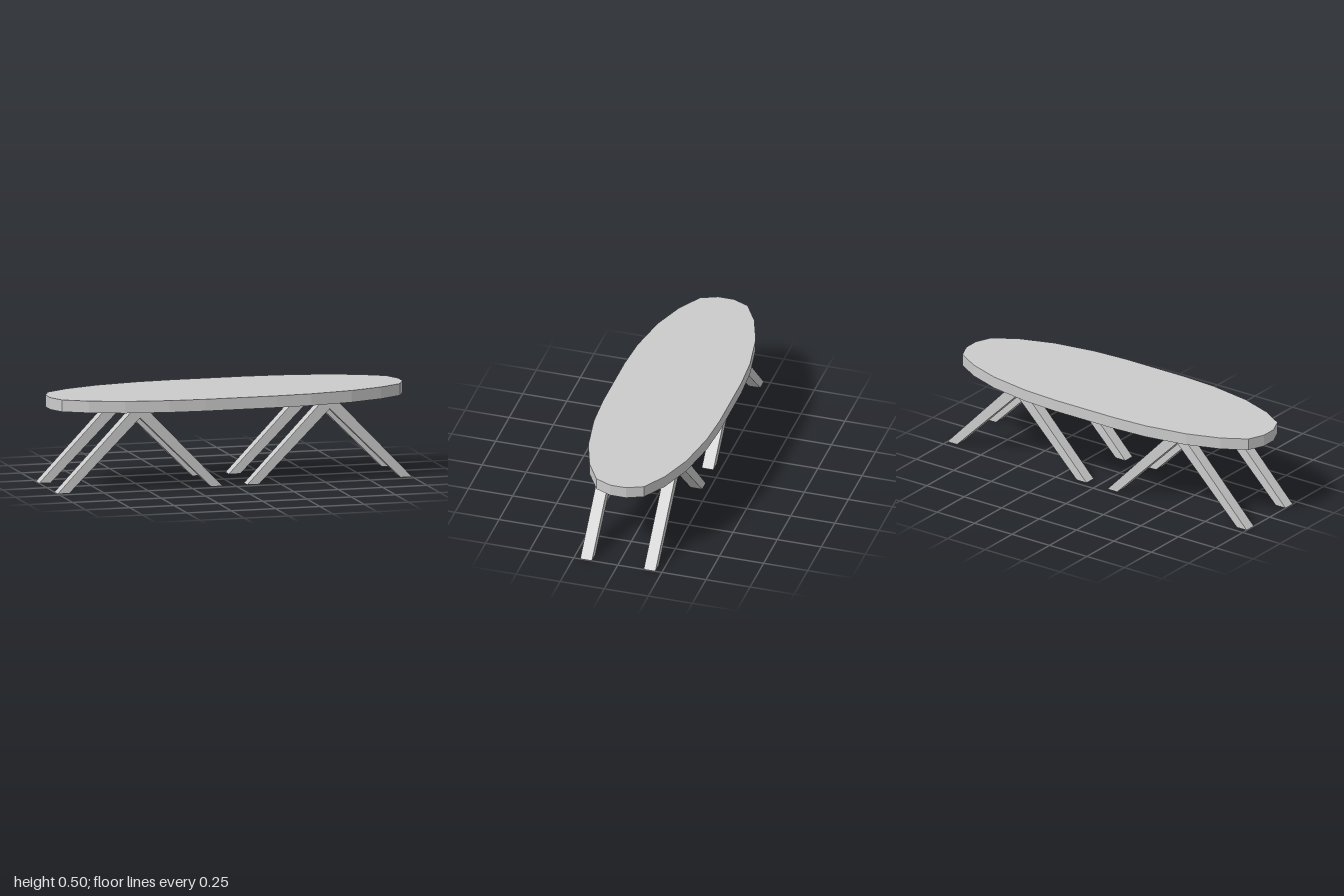
import * as THREE from 'three';

const material = new THREE.MeshStandardMaterial({ color: 0xcccccc, flatShading: true });

// Closed outline extruded from 0 to depth
function slab(points, depth) {
  const shape = new THREE.Shape(points.map(([x, y]) => new THREE.Vector2(x, y)));
  return new THREE.ExtrudeGeometry(shape, { depth, bevelEnabled: false });
}

export function createModel() {
  const table = new THREE.Group();
  table.name = 'ovalTable';

  // Faceted oval top: one quadrant mirrored into all four
  const quarter = [[0.994, 0.045], [0.955, 0.135], [0.825, 0.213], [0.64, 0.278], [0.4, 0.32], [0.2, 0.332]];
  const half = [...quarter, ...quarter.map(([x, z]) => [-x, z]).reverse()];
  const outline = [...half, ...half.map(([x, z]) => [-x, -z])];
  const topGeometry = slab(outline, 0.065);
  topGeometry.rotateX(-Math.PI / 2);
  const top = new THREE.Mesh(topGeometry, material);
  top.name = 'tableTop';
  top.position.y = 0.437;
  table.add(top);

  // Four A-shaped leg frames with a flat apex under the top
  const frameGeometry = slab([
    [-0.465, 0], [-0.4, 0], [0, 0.396], [0.4, 0], [0.465, 0], [0.045, 0.437], [-0.045, 0.437],
  ], 0.066);
  frameGeometry.translate(0, 0, -0.033);
  for (const sx of [-1, 1]) {
    for (const sz of [-1, 1]) {
      const frame = new THREE.Mesh(frameGeometry, material);
      frame.name = `${sz > 0 ? 'front' : 'back'}${sx > 0 ? 'Left' : 'Right'}LegFrame`;
      frame.position.set(sx * 0.535, 0, sz * 0.18);
      table.add(frame);
    }
  }
  return table;
}
